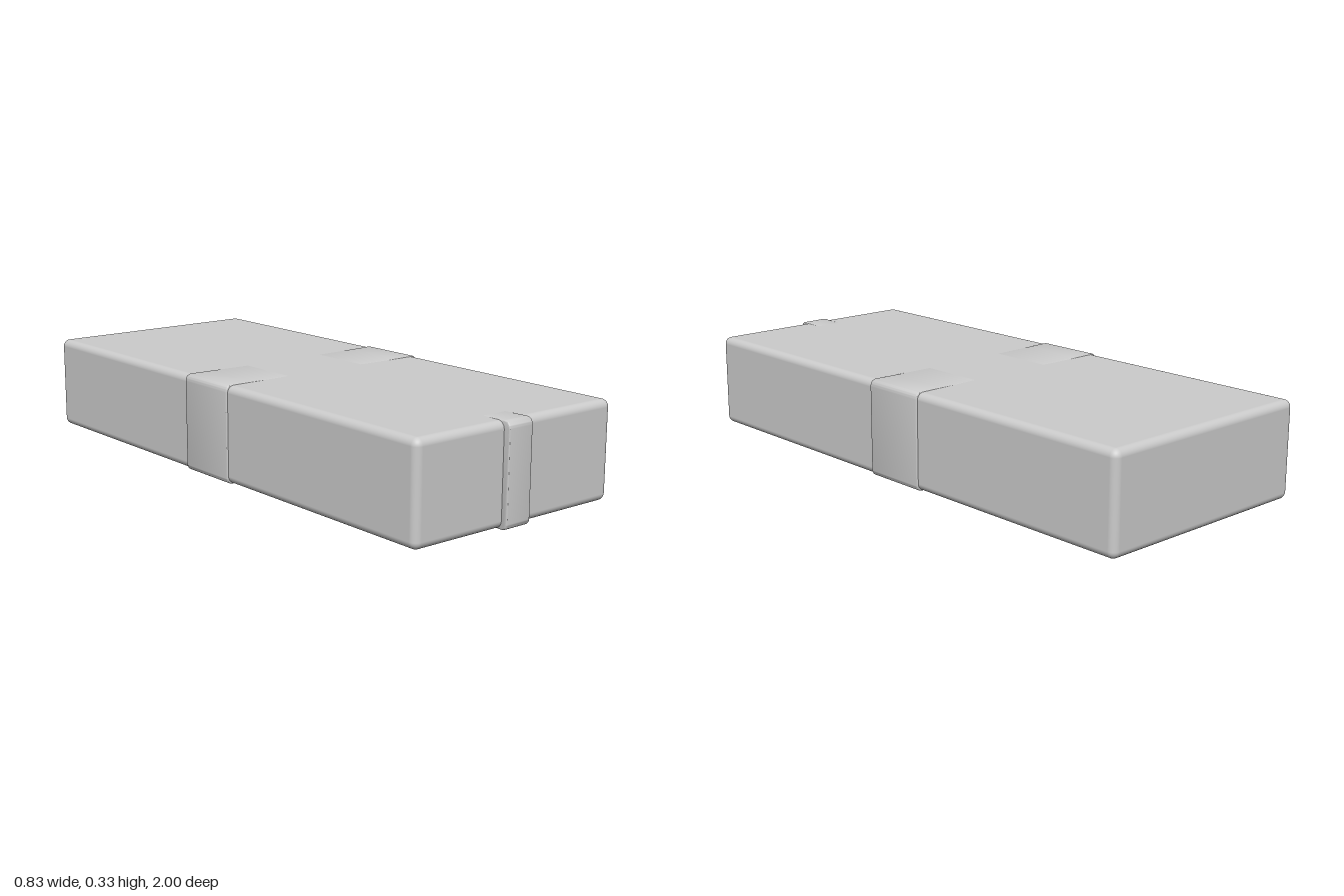
import * as THREE from 'three';
import { toCreasedNormals } from 'three/addons/utils/BufferGeometryUtils.js';
import { RoundedBoxGeometry } from 'three/addons/geometries/RoundedBoxGeometry.js';

const material = new THREE.MeshStandardMaterial({ color: 0xcccccc });
const BOTTOM = 0.004, TOP = 0.331; // top and bottom of the box

// Solid band around the box: a rounded profile whose long edges sag into the box.
// inset hides the left end inside the box when the band stops short there.
function strapGeometry(left, right, width, sag, inset = 0) {
  const bevel = 0.004, r = 0.02, proud = 0.0025;
  const l = left + bevel, e = right - bevel;
  const lo = BOTTOM - proud + bevel, hi = TOP + proud - bevel;
  const mid = (l + e) / 2;
  const shape = new THREE.Shape();
  shape.moveTo(l + r, lo + inset);
  shape.quadraticCurveTo(mid, lo + sag, e - r, lo);
  shape.quadraticCurveTo(e, lo, e, lo + r);
  shape.lineTo(e, hi - r);
  shape.quadraticCurveTo(e, hi, e - r, hi);
  shape.quadraticCurveTo(mid, hi - sag, l + r, hi - inset);
  shape.quadraticCurveTo(l, hi - inset, l, hi - inset - r);
  shape.lineTo(l, lo + inset + r);
  shape.quadraticCurveTo(l, lo + inset, l + r, lo + inset);
  const depth = width - 2 * bevel;
  const geometry = new THREE.ExtrudeGeometry(shape, {
    depth, curveSegments: 10, bevelSize: bevel, bevelThickness: bevel, bevelSegments: 3,
  });
  geometry.translate(0, 0, -depth / 2);
  return toCreasedNormals(geometry, 0.7);
}

export function createModel() {
  const group = new THREE.Group();
  const add = (name, geometry, x, y, z) => {
    const mesh = new THREE.Mesh(geometry, material);
    mesh.name = name;
    mesh.position.set(x, y, z);
    group.add(mesh);
  };

  // Long box with softly rounded edges
  add('boxBody', new RoundedBoxGeometry(0.82, TOP - BOTTOM, 1.978, 5, 0.025),
    0, (TOP + BOTTOM) / 2, -0.011);

  // Band wrapped across the width
  add('crossBand', strapGeometry(-0.415, 0.415, 0.235, 0.006), 0, 0, -0.0325);

  // Narrow lengthwise band that stands out only at the front end
  add('lengthBand', strapGeometry(-0.95, 1, 0.098, 0.03, 0.01).rotateY(-Math.PI / 2),
    -0.016, 0, 0);

  return group;
}
